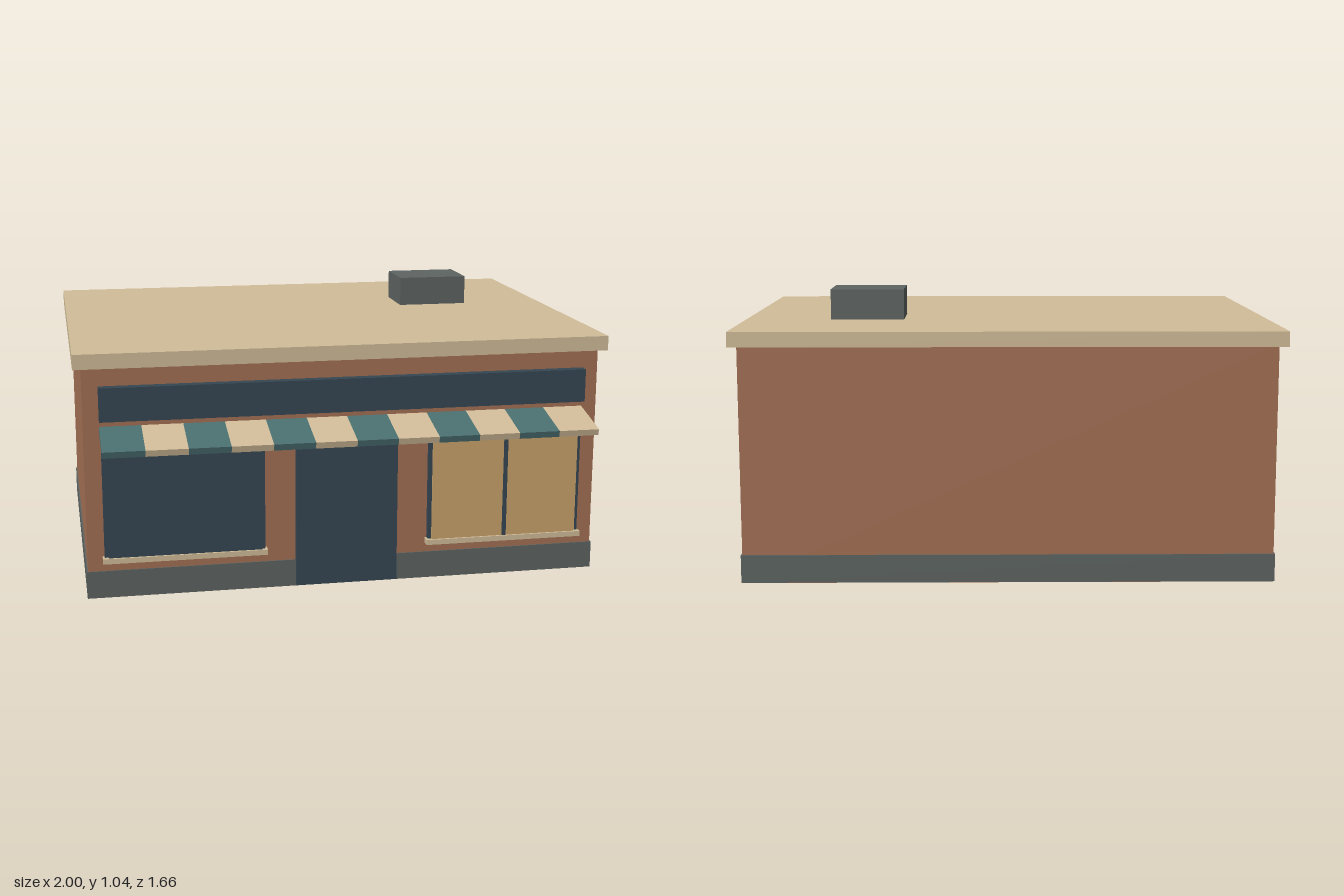
import * as THREE from 'three';

const paint = (name, color) => {
  const m = new THREE.MeshStandardMaterial({ color });
  m.name = name;
  return m;
};

export function createModel() {
  const brick = paint('brick', 0xa57155);
  const cream = paint('cream', 0xd2bd99);
  const grey = paint('slate grey', 0x5e6562);
  const navy = paint('dark navy', 0x364753);
  const amber = paint('warm window', 0xcba36c);
  const teal = paint('awning teal', 0x4b7071);

  const shop = new THREE.Group();
  shop.name = 'shop';

  // Box given by its extents along each axis
  const box = (name, mat, [x0, x1], [y0, y1], [z0, z1], parent = shop) => {
    const mesh = new THREE.Mesh(new THREE.BoxGeometry(x1 - x0, y1 - y0, z1 - z0), mat);
    mesh.position.set((x0 + x1) / 2, (y0 + y1) / 2, (z0 + z1) / 2);
    mesh.name = name;
    parent.add(mesh);
    return mesh;
  };

  // Building shell
  box('walls', brick, [-0.97, 0.97], [0, 0.88], [-0.8, 0.635]);
  box('plinth', grey, [-0.975, 0.975], [0.002, 0.105], [-0.805, 0.64]);
  box('roofSlab', cream, [-1, 1], [0.87, 0.925], [-0.83, 0.662]);
  box('roofVent', grey, [0.395, 0.675], [0.92, 1.04], [-0.385, -0.17]);

  // Shopfront
  box('signBoard', navy, [-0.912, 0.912], [0.677, 0.802], [0.63, 0.673]);
  box('door', navy, [-0.195, 0.19], [0.01, 0.575], [0.63, 0.662]);

  // Two-pane windows, one dark and one lit
  const addWindow = (name, cx, paneMat) => {
    const g = new THREE.Group();
    g.name = name;
    g.position.x = cx;
    shop.add(g);
    box('frame', navy, [-0.298, 0.298], [0.14, 0.583], [0.63, 0.654], g);
    for (const s of [-1, 1]) {
      const xs = [s * 0.008, s * 0.284].sort((a, b) => a - b);
      box('pane', paneMat, xs, [0.155, 0.573], [0.65, 0.664], g);
    }
    box('mullion', navy, [-0.008, 0.008], [0.155, 0.575], [0.65, 0.667], g);
    box('sill', cream, [-0.305, 0.305], [0.142, 0.162], [0.63, 0.672], g);
  };
  addWindow('leftWindow', 0.61, amber);
  addWindow('rightWindow', -0.61, navy);

  // Sloping striped awning
  const awning = new THREE.Group();
  awning.name = 'awning';
  awning.position.set(0, 0.619, 0.731);
  awning.rotation.x = 0.225;
  shop.add(awning);
  const stripes = 12, width = 1.824 / stripes;
  for (let i = 0; i < stripes; i++) {
    const x = -0.912 + i * width;
    box('awningStripe', i % 2 ? cream : teal, [x, x + width], [-0.012, 0.012], [-0.1, 0.1], awning);
  }

  return shop;
}
